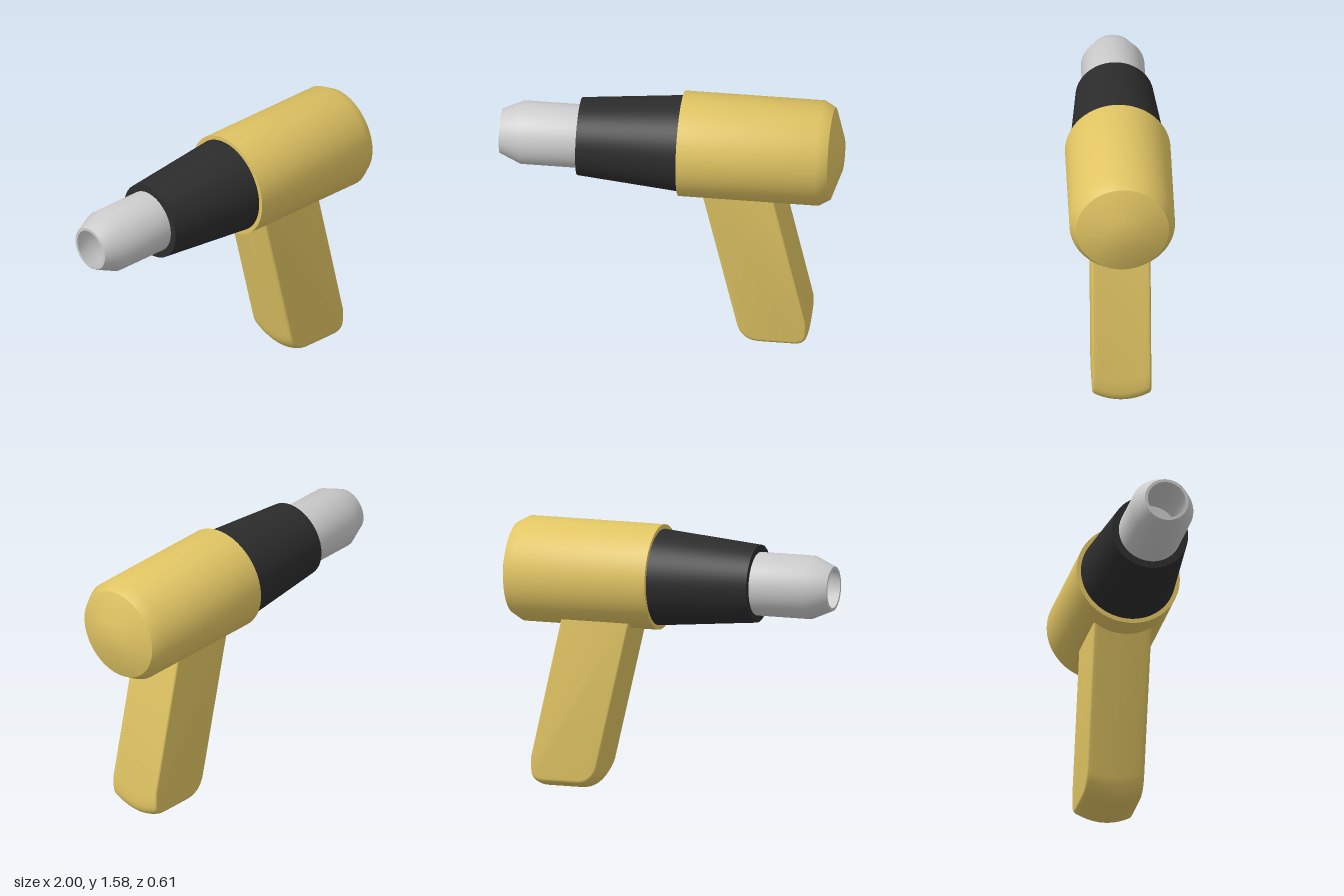
import * as THREE from 'three';
import { toCreasedNormals } from 'three/addons/utils/BufferGeometryUtils.js';

const AXIS_Y = 1.27;

// Turned part along the x axis; points are [x, radius], running from -x to +x on the outside
function turned(name, points, material) {
  const profile = points.map(([x, r]) => new THREE.Vector2(r, x));
  const lathe = new THREE.LatheGeometry(profile, 64);
  lathe.rotateZ(-Math.PI / 2);
  const mesh = new THREE.Mesh(toCreasedNormals(lathe, 0.6), material);
  mesh.name = name;
  mesh.position.y = AXIS_Y;
  return mesh;
}

// Slanted grip: bevelled extrusion whose bottom is bowed across its width
function makeGrip(material) {
  const bevel = 0.014, halfWidth = 0.172;
  const s = new THREE.Shape();
  s.moveTo(0.18, 1.1);
  s.lineTo(0.395, 0.13);
  s.bezierCurveTo(0.41, 0.05, 0.45, 0, 0.53, 0);
  s.lineTo(0.73, 0);
  s.bezierCurveTo(0.785, 0, 0.805, 0.03, 0.805, 0.08);
  s.lineTo(0.805, 0.15);
  s.lineTo(0.6, 1.1);
  const depth = 2 * (halfWidth - bevel);
  const geo = new THREE.ExtrudeGeometry(s, {
    depth, steps: 16, curveSegments: 10,
    bevelEnabled: true, bevelThickness: bevel, bevelSize: bevel, bevelOffset: -bevel, bevelSegments: 4,
  });
  geo.translate(0, 0, -depth / 2);
  const p = geo.attributes.position;
  for (let i = 0; i < p.count; i++) {
    const y = p.getY(i), t = p.getZ(i) / halfWidth;
    p.setY(i, y + 0.05 * t * t * Math.max(0, 1 - y));
  }
  const mesh = new THREE.Mesh(toCreasedNormals(geo, 0.3), material);
  mesh.name = 'grip';
  return mesh;
}

export function createModel() {
  const yellow = new THREE.MeshStandardMaterial({ color: 0xe0c463 });
  const black = new THREE.MeshStandardMaterial({ color: 0x2c2c2c });
  const grey = new THREE.MeshStandardMaterial({ color: 0xcccccc });

  const group = new THREE.Group();
  group.name = 'heatGun';
  group.add(
    // Motor housing with chamfered, slightly domed rear
    turned('housing', [[0.057, 0], [0.057, 0.307], [0.875, 0.307], [0.94, 0.27], [1, 0.1], [1, 0]], yellow),
    // Tapered heat collar
    turned('collar', [[-0.54, 0], [-0.54, 0.227], [0.07, 0.282], [0.07, 0]], black),
    // Hollow nozzle: bore first, then the outer wall
    turned('nozzle', [[-0.56, 0], [-0.56, 0.16], [-0.875, 0.16], [-1, 0.112], [-1, 0.13], [-0.875, 0.185], [-0.53, 0.185]], grey),
    makeGrip(yellow),
  );
  return group;
}
